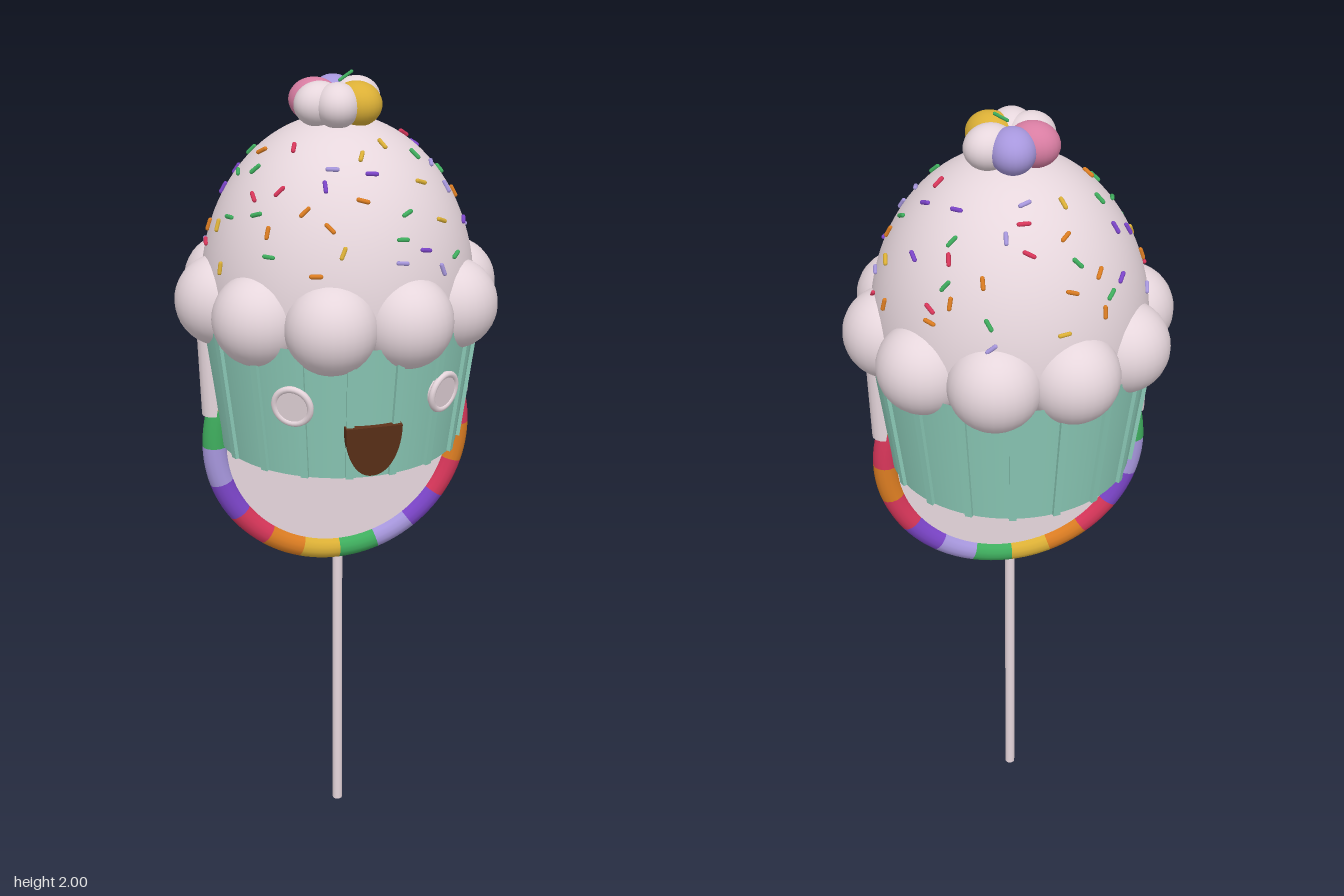
import * as THREE from 'three';

const HEX = {
  cream: 0xe6d6dc, teal: 0x8ccbb8, green: 0x3fae5e, lavender: 0xa797dd, pink: 0xd87da2,
  yellow: 0xdcb036, orange: 0xdc7d22, crimson: 0xd8365a, purple: 0x7c45c9, brown: 0x5c3018,
};

export function createModel() {
  const model = new THREE.Group();
  model.name = 'cupcakeLollipop';
  const mats = {};
  for (const [name, color] of Object.entries(HEX)) {
    mats[name] = new THREE.MeshStandardMaterial({ color });
    mats[name].name = name;
  }
  mats.teal.side = THREE.DoubleSide;

  const add = (name, geo, mat, x = 0, y = 0, z = 0, parent = model) => {
    const m = new THREE.Mesh(geo, mats[mat]);
    m.name = name;
    m.position.set(x, y, z);
    parent.add(m);
    return m;
  };

  // Stick and round candy disc
  add('stick', new THREE.CylinderGeometry(0.013, 0.013, 0.78, 16), 'cream', 0, 0.39, 0);
  const disc = add('candyDisc', new THREE.CylinderGeometry(0.31, 0.31, 0.03, 64), 'cream', 0, 1.095, 0);
  disc.rotation.x = Math.PI / 2;

  // Striped candy ring
  const ringColours = ['crimson', 'orange', 'yellow', 'green', 'lavender', 'purple'];
  const step = Math.PI / 10;
  for (let i = 0; i < 20; i++) {
    const seg = add('ringSegment', new THREE.TorusGeometry(0.315, 0.031, 14, 6, step), ringColours[i % 6], 0, 1.095, 0);
    seg.rotation.z = i * step;
  }

  // Upright straps that rise from the ring to the icing
  for (const s of [-1, 1]) {
    const strap = add('strap', new THREE.CylinderGeometry(0.029, 0.029, 0.22, 14), 'cream', s * 0.318, 1.29, 0);
    strap.rotation.z = -s * 0.03;
  }

  // Pleated paper cup, open underneath
  const cupLow = 1.1, cupHigh = 1.43, rLow = 0.298, rHigh = 0.34;
  const cupRadius = y => rLow + (rHigh - rLow) * (y - cupLow) / (cupHigh - cupLow);
  const lean = Math.atan2(rHigh - rLow, cupHigh - cupLow);
  add('paperCup', new THREE.CylinderGeometry(rHigh, rLow, cupHigh - cupLow, 72, 1, true), 'teal', 0, 1.265, 0);
  for (let i = 0; i < 18; i++) {
    const pivot = new THREE.Group();
    pivot.name = 'pleat';
    pivot.rotation.y = (i + 0.5) * Math.PI / 9;
    model.add(pivot);
    const rib = add('pleatRib', new THREE.BoxGeometry(0.018, 0.33, 0.014), 'teal', 0, 1.265, cupRadius(1.265) + 0.002, pivot);
    rib.rotation.x = lean;
  }

  // Filling that bulges out below the cup
  add('filling', new THREE.SphereGeometry(1, 40, 28), 'green', 0, 1.31, 0).scale.set(0.25, 0.26, 0.25);

  // Icing dome with a scalloped edge
  const R = 0.33, H = 0.415, baseY = 1.48;
  const profile = [new THREE.Vector2(0, 1.41), new THREE.Vector2(0.32, 1.41)];
  for (let i = 0; i <= 24; i++) {
    const a = i / 24 * Math.PI / 2;
    profile.push(new THREE.Vector2(Math.max(R * Math.cos(a), 0), baseY + H * Math.sin(a)));
  }
  add('icingDome', new THREE.LatheGeometry(profile, 64), 'cream');
  for (let i = 0; i < 10; i++) {
    const a = i * Math.PI / 5;
    add('icingScallop', new THREE.SphereGeometry(0.11, 28, 20), 'cream', 0.29 * Math.cos(a), 1.47, 0.29 * Math.sin(a));
  }

  // Candy lobes, listed as [colour, angle in degrees from +x towards +z]
  const cluster = (name, y, lobes) => {
    const g = new THREE.Group();
    g.name = name;
    g.position.y = y;
    model.add(g);
    for (const [mat, deg] of lobes) {
      const a = THREE.MathUtils.degToRad(deg);
      const lobe = add('candyLobe', new THREE.SphereGeometry(1, 24, 18), mat, 0.056 * Math.cos(a), 0, 0.056 * Math.sin(a), g);
      lobe.scale.set(0.062, 0.052, 0.054);
      lobe.rotation.y = -a;
    }
  };
  cluster('topCandy', 1.928, [['yellow', 52], ['cream', 105], ['cream', 155], ['pink', 212], ['lavender', 275], ['cream', 335]]);
  cluster('bottomCandy', 1.085, [['pink', 35], ['lavender', 92], ['cream', 150], ['lavender', 205], ['yellow', 255], ['cream', 325]]);
  const stem = add('candyStem', new THREE.CapsuleGeometry(0.004, 0.034, 4, 8), 'green', 0.02, 1.985, 0);
  stem.rotation.z = -1;

  // Sprinkles scattered over the dome
  let seed = 11;
  const rand = () => (seed = (seed * 16807) % 2147483647) / 2147483647;
  const up = new THREE.Vector3(0, 1, 0);
  const sprinkle = new THREE.CapsuleGeometry(0.0052, 0.022, 4, 8);
  for (let i = 0; i < 72; i++) {
    const a = i * 2.39996 + rand() * 0.5;
    const t = Math.asin(0.22 + 0.68 * ((i + rand()) / 72));
    const n = new THREE.Vector3(Math.cos(t) * Math.cos(a) / R, Math.sin(t) / H, Math.cos(t) * Math.sin(a) / R).normalize();
    const side = new THREE.Vector3().crossVectors(up, n).normalize();
    side.applyAxisAngle(n, rand() * Math.PI);
    const m = add('sprinkle', sprinkle, ringColours[Math.floor(rand() * 6)],
      R * Math.cos(t) * Math.cos(a), baseY + H * Math.sin(t), R * Math.cos(t) * Math.sin(a));
    m.position.addScaledVector(n, 0.003);
    m.quaternion.setFromUnitVectors(up, side);
  }

  // Round eyes with a raised rim
  for (const s of [-1, 1]) {
    const eye = new THREE.Group();
    eye.name = s > 0 ? 'leftEye' : 'rightEye';
    eye.rotation.order = 'YXZ';
    eye.rotation.set(lean, s * 0.585, 0);
    eye.position.set(s * 0.178, 1.29, 0.269);
    model.add(eye);
    add('eyeDisc', new THREE.CylinderGeometry(0.044, 0.044, 0.024, 32), 'cream', 0, 0, 0.002, eye).rotation.x = Math.PI / 2;
    add('eyeRim', new THREE.TorusGeometry(0.044, 0.008, 10, 32), 'cream', 0, 0, 0.01, eye);
  }

  // Open mouth
  const lip = new THREE.Shape();
  lip.moveTo(-0.068, 0.065);
  lip.lineTo(0.068, 0.065);
  lip.bezierCurveTo(0.07, 0, 0.045, -0.065, 0, -0.065);
  lip.bezierCurveTo(-0.045, -0.065, -0.07, 0, -0.068, 0.065);
  const mouth = add('mouth', new THREE.ExtrudeGeometry(lip, { depth: 0.022, bevelEnabled: false, curveSegments: 16 }),
    'brown', 0, 1.175, cupRadius(1.175) - 0.01);
  mouth.rotation.x = lean;

  return model;
}
